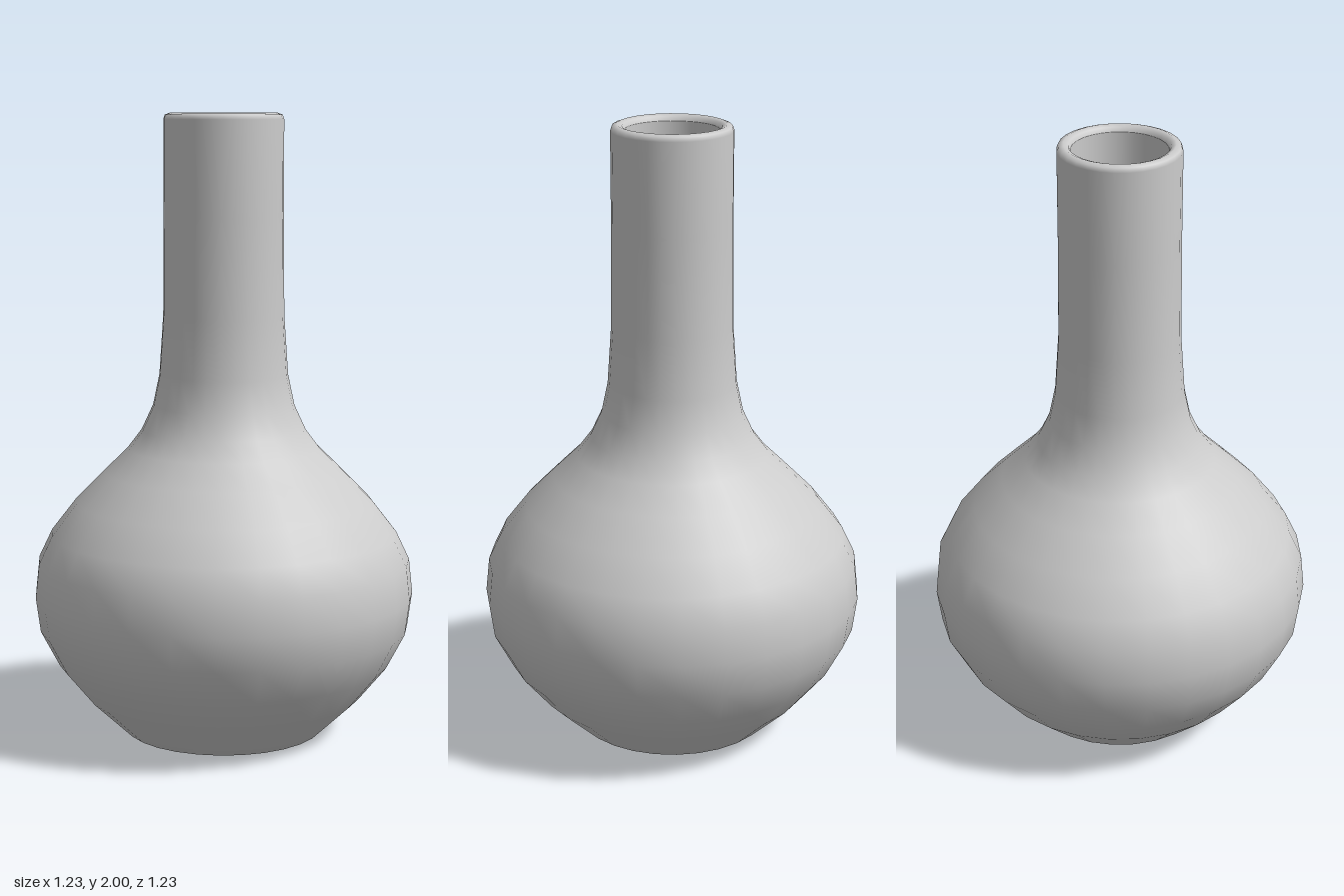
import * as THREE from 'three';

const SEGMENTS = 28;

export function createModel() {
  const group = new THREE.Group();
  group.name = 'bottleVase';
  const material = new THREE.MeshStandardMaterial({ color: 0xcccccc });

  const addLathe = (name, profile) => {
    const points = profile.map(([r, y]) => new THREE.Vector2(r, y));
    const mesh = new THREE.Mesh(new THREE.LatheGeometry(points, SEGMENTS), material);
    mesh.name = name;
    group.add(mesh);
  };

  // Outer wall from foot to neck, over the rounded lip
  const outer = [
    [0.323, 0], [0.45, 0.12], [0.54, 0.23], [0.6, 0.345], [0.615, 0.456],
    [0.603, 0.567], [0.56, 0.657], [0.48, 0.76], [0.386, 0.855], [0.31, 0.93],
    [0.265, 0.99], [0.228, 1.07], [0.207, 1.17], [0.194, 1.36], [0.191, 1.68],
    [0.191, 1.98],
  ];
  const lip = [[0.186, 1.994], [0.17, 2], [0.155, 1.994], [0.149, 1.98]];
  addLathe('outerWallAndLip', [...outer, ...lip]);

  // Hollow inside, running from the lip down to the floor
  addLathe('innerWall', [
    [0.149, 1.98], [0.149, 1.68], [0.152, 1.36], [0.166, 1.16], [0.188, 1.05],
    [0.23, 0.965], [0.28, 0.9], [0.36, 0.825], [0.45, 0.735], [0.525, 0.635],
    [0.562, 0.555], [0.573, 0.456], [0.56, 0.355], [0.505, 0.255],
    [0.42, 0.15], [0.31, 0.05],
  ]);
  addLathe('innerFloor', [[0.31, 0.05], [0, 0.05]]);

  // Underside: shallow recess inside a flat foot ring
  addLathe('baseRecess', [[0, 0.02], [0.24, 0.02], [0.25, 0.015], [0.262, 0]]);
  addLathe('footRing', [[0.262, 0], [0.323, 0]]);

  return group;
}
